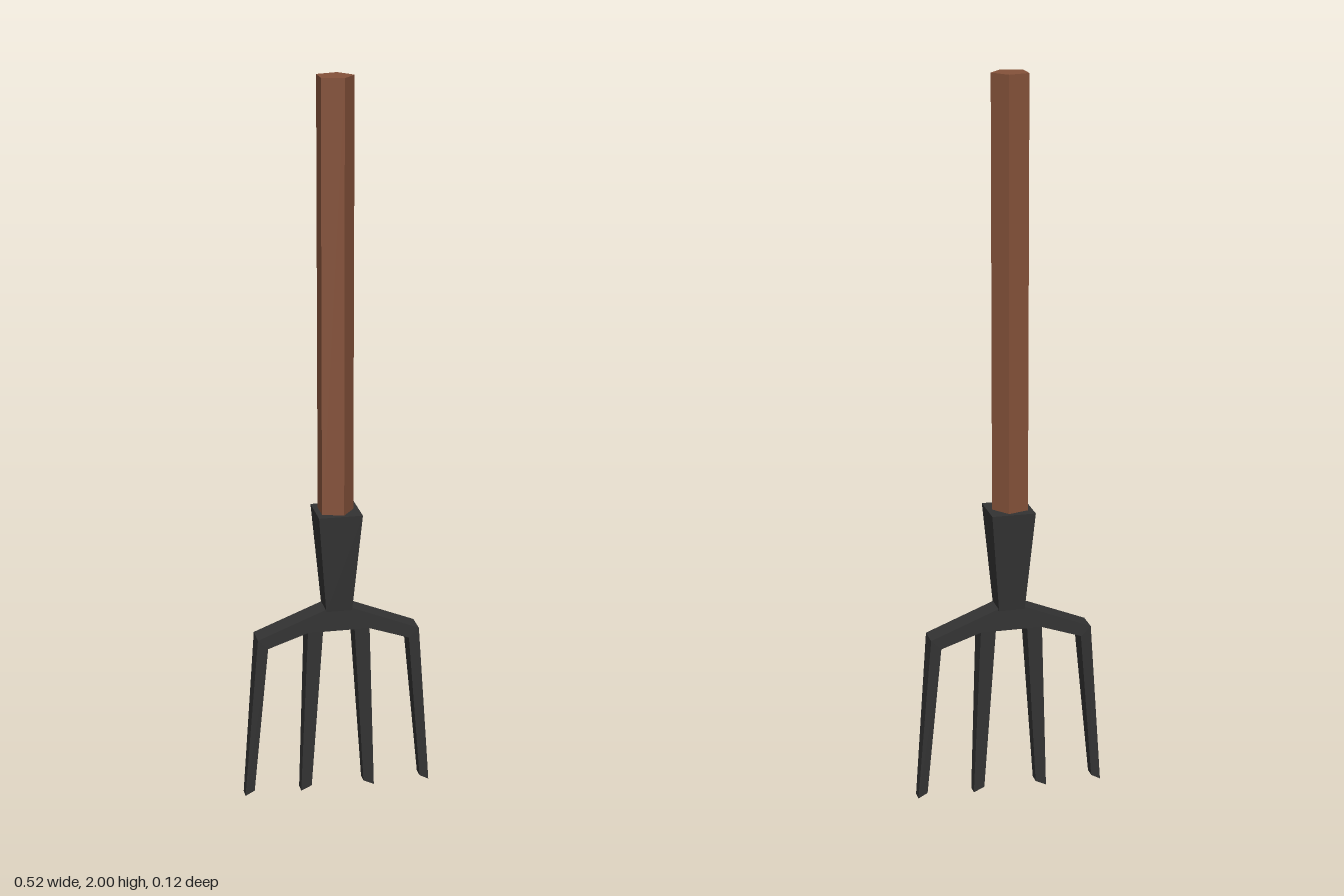
import * as THREE from 'three';

// Closed solid lofted between two four-cornered rings (listed clockwise seen from above, bottom first)
function loft(bottom, top) {
  const p = [...bottom, ...top];
  const quads = [[0, 3, 2, 1], [4, 5, 6, 7]];
  for (let i = 0; i < 4; i++) {
    const j = (i + 1) % 4;
    quads.push([i, j, j + 4, i + 4]);
  }
  const pos = [];
  for (const [a, b, c, d] of quads) for (const k of [a, b, c, a, c, d]) pos.push(...p[k]);
  const g = new THREE.BufferGeometry();
  g.setAttribute('position', new THREE.Float32BufferAttribute(pos, 3));
  g.computeVertexNormals();
  return g;
}

// Ring from an inner (x0, y0) and outer (x1, y1) edge with half depth d
const ring = (x0, y0, x1, y1, d) => [[x0, y0, d], [x1, y1, d], [x1, y1, -d], [x0, y0, -d]];

export function createModel() {
  const group = new THREE.Group();
  const wood = new THREE.MeshStandardMaterial({ color: 0x85523a, flatShading: true });
  wood.name = 'brown wood';
  const iron = new THREE.MeshStandardMaterial({ color: 0x333333, flatShading: true });
  iron.name = 'dark iron';
  const add = (name, geometry, material) => {
    const mesh = new THREE.Mesh(geometry, material);
    mesh.name = name;
    group.add(mesh);
    return mesh;
  };

  // Five-sided shaft
  const shaft = new THREE.CylinderGeometry(0.052, 0.051, 1.22, 5, 1, false, Math.PI / 2);
  shaft.translate(-0.005, 1.39, 0.001);
  add('shaft', shaft, wood);

  // Square tapered socket
  add('socket', loft(ring(-0.036, 0.545, 0.036, 0.545, 0.036), ring(-0.06, 0.826, 0.06, 0.826, 0.06)), iron);

  // Sloping crossbar
  const half = [[0.036, 0.55], [0.225, 0.475], [0.197, 0.448], [0.085, 0.486]];
  const outline = [...half, ...half.map(([x, y]) => [-x, y]).reverse()];
  const bar = new THREE.ExtrudeGeometry(
    new THREE.Shape(outline.map(([x, y]) => new THREE.Vector2(x, y))),
    { depth: 0.064, bevelEnabled: false });
  bar.translate(0, 0, -0.032);
  add('crossbar', bar, iron);

  // Four splayed tines with slanted tips
  const tines = [
    ['outer', ring(0.236, 0.017, 0.262, 0.003, 0.016), ring(0.197, 0.448, 0.225, 0.475, 0.033)],
    ['inner', ring(0.074, 0.017, 0.104, 0.003, 0.016), ring(0.044, 0.488, 0.086, 0.488, 0.032)],
  ];
  const mirror = (r) => [1, 0, 3, 2].map((i) => [-r[i][0], r[i][1], r[i][2]]);
  for (const [name, tip, root] of tines) {
    add(name + 'TineLeft', loft(tip, root), iron);
    add(name + 'TineRight', loft(mirror(tip), mirror(root)), iron);
  }
  return group;
}
